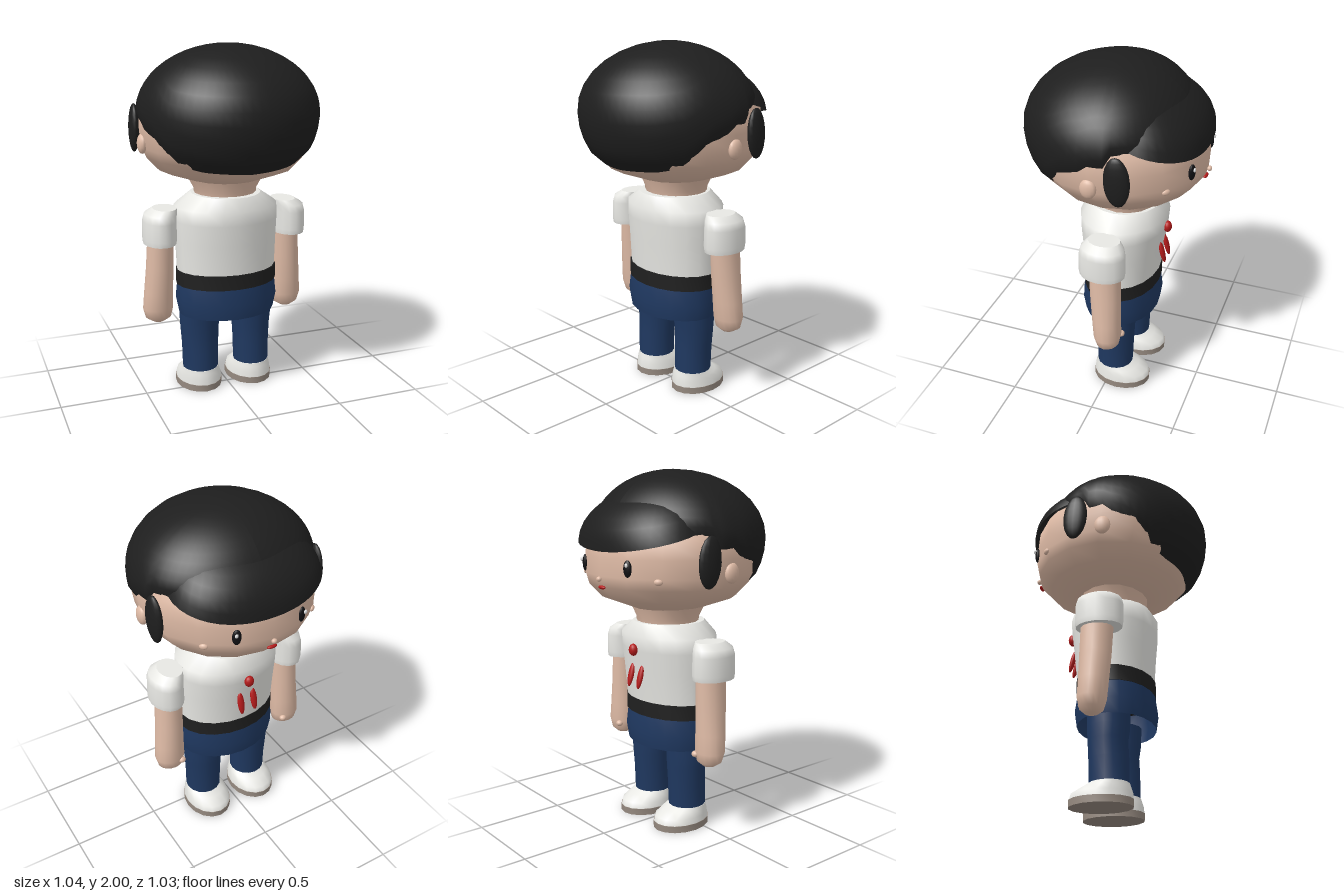
import * as THREE from 'three';

const mat = (name, color, side = THREE.FrontSide) => {
  const m = new THREE.MeshStandardMaterial({ color, side });
  m.name = name;
  return m;
};

// Grid of points (rows bottom to top, columns by angle from +z) turned into a smooth surface.
function surface(rows, cols, closed, point) {
  const pos = [], idx = [];
  const n = closed ? cols : cols + 1;
  for (let i = 0; i < rows; i++) for (let j = 0; j < n; j++) pos.push(...point(i, j / cols));
  for (let i = 0; i < rows - 1; i++) {
    for (let j = 0; j < cols; j++) {
      const a = i * n + j, b = i * n + (j + 1) % n;
      idx.push(a, b, a + n, b, b + n, a + n);
    }
  }
  const g = new THREE.BufferGeometry();
  g.setAttribute('position', new THREE.Float32BufferAttribute(pos, 3));
  g.setIndex(idx);
  g.computeVertexNormals();
  return g;
}

// Elliptical loft; each ring is [y, centreX, centreZ, radiusX, radiusZ]. A repeated ring makes a crease.
const loft = (rings, seg = 16) => surface(rings.length, seg, true, (i, u) => {
  const [y, cx, cz, rx, rz] = rings[i], a = u * Math.PI * 2;
  return [cx + rx * Math.sin(a), y, cz + rz * Math.cos(a)];
});

// Closes both ends of a loft with flat, sharp-edged caps.
function capped(rings) {
  const tip = r => [r[0], r[1], r[2], 0, 0];
  const first = rings[0], last = rings[rings.length - 1];
  return [tip(first), first, ...rings, last, tip(last)];
}

export function createModel() {
  const model = new THREE.Group();
  const skin = mat('skin', 0xdfbba6);
  const hairMat = mat('black hair', 0x1e1e1e, THREE.DoubleSide);
  const shirtMat = mat('white cloth', 0xe8e8e4);
  const beltMat = mat('belt black', 0x202020);
  const blue = mat('navy cloth', 0x1f3860, THREE.DoubleSide);
  const red = mat('red', 0xb41a1a);
  const soleMat = mat('sole grey', 0x968a80);
  const eyeMat = mat('eye black', 0x111114);
  const glint = mat('eye highlight', 0xe6e6e6);

  const add = (name, geo, material) => {
    const m = new THREE.Mesh(geo, material);
    m.name = name;
    model.add(m);
    return m;
  };
  const ball = (name, material, p, s, rot = [0, 0, 0]) => {
    const m = add(name, new THREE.SphereGeometry(1, 14, 10), material);
    m.position.set(...p);
    m.scale.set(...s);
    m.rotation.set(...rot);
    return m;
  };

  // Head and neck
  add('head', loft([
    [1.245, 0, -0.04, 0, 0], [1.25, 0, -0.04, 0.2, 0.2], [1.315, 0, -0.035, 0.385, 0.375],
    [1.39, 0, -0.035, 0.455, 0.445], [1.45, 0, -0.02, 0.485, 0.475], [1.55, 0, -0.005, 0.498, 0.488],
    [1.65, 0, 0, 0.495, 0.485], [1.78, 0, 0.03, 0.43, 0.4], [1.9, 0, 0.03, 0.3, 0.26], [1.96, 0, 0.03, 0, 0],
  ]), skin);
  add('neck', loft([[1.13, 0, -0.04, 0.18, 0.17], [1.19, 0, -0.04, 0.18, 0.175], [1.28, 0, -0.04, 0.23, 0.21]]), skin);

  // Hair cap, cut along a hairline that climbs from nape to temples
  const line = [[0, 1.345], [38, 1.36], [58, 1.39], [74, 1.52], [86, 1.56], [92, 1.6], [104, 1.6], [107, 1.67], [180, 1.69]];
  const hairline = deg => {
    const k = Math.max(1, line.findIndex(p => p[0] >= deg));
    const [a, b] = [line[k - 1], line[k]];
    return THREE.MathUtils.lerp(a[1], b[1], (deg - a[0]) / (b[0] - a[0]));
  };
  const rows = 12;
  add('hairCap', surface(rows + 1, 64, false, (i, u) => {
    const a = (u * 2 - 1) * Math.PI;
    const low = hairline(Math.min(180, Math.abs(a) * 180 / Math.PI));
    const th = Math.acos((low - 1.63) / 0.37) * (1 - i / rows);
    const s = Math.max(0, Math.sin(th));
    const r = (th > Math.PI / 2 ? Math.pow(s, 0.6) : s) * (i === 0 ? 0.965 : 1);
    const z = r * 0.515 * Math.cos(a);
    return [r * 0.51 * Math.sin(a), 1.63 + 0.37 * Math.cos(th), z < 0 ? z * 0.83 : z];
  }), hairMat);

  // Fringe swept over the forehead
  add('fringe', surface(9, 24, false, (i, u) => {
    const b = (u * 2 - 1) * 1.15, e = Math.abs(b) / 1.15;
    const low = 1.58 + 0.1 * e * e;
    const th = THREE.MathUtils.lerp(Math.acos((low - 1.6) / 0.33), 0.25, i / 8);
    const r = (0.5 + 0.03 * Math.sin(2 * b) ** 2 - 0.03 * e ** 6) * Math.sin(th);
    return [-r * Math.sin(b), 1.6 + 0.33 * Math.cos(th), -r * Math.cos(b)];
  }), hairMat);

  // Nose, mouth
  ball('nose', skin, [0, 1.435, -0.5], [0.016, 0.014, 0.014]);
  ball('mouth', red, [0, 1.39, -0.482], [0.03, 0.01, 0.012]);

  // Shirt, belt and hip of the trousers
  add('shirt', loft(capped([
    [0.72, 0, -0.025, 0.292, 0.212], [0.9, 0, -0.028, 0.298, 0.228], [1.02, 0, -0.03, 0.303, 0.242],
    [1.1, 0, -0.032, 0.3, 0.247], [1.17, 0, -0.03, 0.2, 0.203],
  ]), 20), shirtMat);
  add('belt', loft(capped([[0.645, 0, -0.022, 0.298, 0.218], [0.73, 0, -0.022, 0.298, 0.218]]), 20), beltMat);
  add('hips', loft([
    [0.465, 0, -0.02, 0.285, 0.215], [0.55, 0, -0.02, 0.302, 0.227], [0.65, 0, -0.02, 0.292, 0.213],
  ], 20), blue);

  // Red knot on the chest
  ball('chestKnot', red, [0, 1.025, -0.282], [0.028, 0.034, 0.024]);

  for (const s of [1, -1]) {
    const side = s > 0 ? 'left' : 'right';

    // Face details, ears and sideburns
    ball(side + 'Eye', eyeMat, [s * 0.195, 1.503, -0.456], [0.024, 0.045, 0.014], [0, s * -0.4, 0]);
    ball(side + 'EyeHighlight', glint, [s * 0.205, 1.523, -0.472], [0.01, 0.012, 0.006]);
    ball(side + 'Cheek', skin, [s * 0.33, 1.44, -0.362], [0.024, 0.017, 0.014], [0, s * -0.75, 0]);
    ball(side + 'Ear', skin, [s * 0.488, 1.475, -0.004], [0.026, 0.055, 0.045]);
    ball(side + 'Sideburn', hairMat, [s * 0.492, 1.54, -0.157], [0.03, 0.136, 0.068], [0, s * 0.1, 0]).rotation.x = 0.06;
    ball(side + 'KnotTail', red, [s * 0.042, 0.875, -0.268], [0.02, 0.068, 0.014], [0.25, 0, 0]);

    // Arm with rounded hand and thumb, under a puffed sleeve
    add(side + 'Sleeve', loft(capped([
      [0.9, s * 0.392, -0.037, 0.092, 0.126], [0.93, s * 0.392, -0.037, 0.095, 0.132],
      [1.03, s * 0.392, -0.037, 0.093, 0.13], [1.07, s * 0.385, -0.037, 0.09, 0.12],
      [1.1, s * 0.36, -0.037, 0.068, 0.09],
    ])), shirtMat);
    add(side + 'Arm', loft([
      [0.415, s * 0.4, -0.07, 0, 0], [0.42, s * 0.4, -0.07, 0.035, 0.035], [0.445, s * 0.4, -0.07, 0.075, 0.063],
      [0.5, s * 0.402, -0.068, 0.088, 0.077], [0.6, s * 0.398, -0.062, 0.084, 0.08],
      [0.75, s * 0.39, -0.055, 0.078, 0.086], [0.95, s * 0.383, -0.048, 0.073, 0.09],
    ]), skin);
    ball(side + 'Thumb', skin, [s * 0.355, 0.485, -0.132], [0.022, 0.018, 0.02]);

    // Trouser leg
    add(side + 'Leg', loft(capped([
      [0.1, s * 0.16, -0.027, 0.104, 0.106], [0.25, s * 0.16, -0.03, 0.107, 0.108],
      [0.35, s * 0.161, -0.035, 0.113, 0.108], [0.42, s * 0.162, -0.032, 0.117, 0.116],
      [0.52, s * 0.162, -0.03, 0.118, 0.118],
    ])), blue);

    // Shoe and sole
    add(side + 'Shoe', loft(capped([
      [0.035, s * 0.158, -0.07, 0.132, 0.17], [0.07, s * 0.158, -0.066, 0.127, 0.163],
      [0.1, s * 0.159, -0.043, 0.115, 0.13], [0.12, s * 0.16, -0.027, 0.106, 0.108],
    ])), shirtMat);
    add(side + 'Sole', loft(capped([
      [0, s * 0.158, -0.07, 0.134, 0.171], [0.038, s * 0.158, -0.07, 0.134, 0.172],
    ])), soleMat);
  }
  return model;
}
